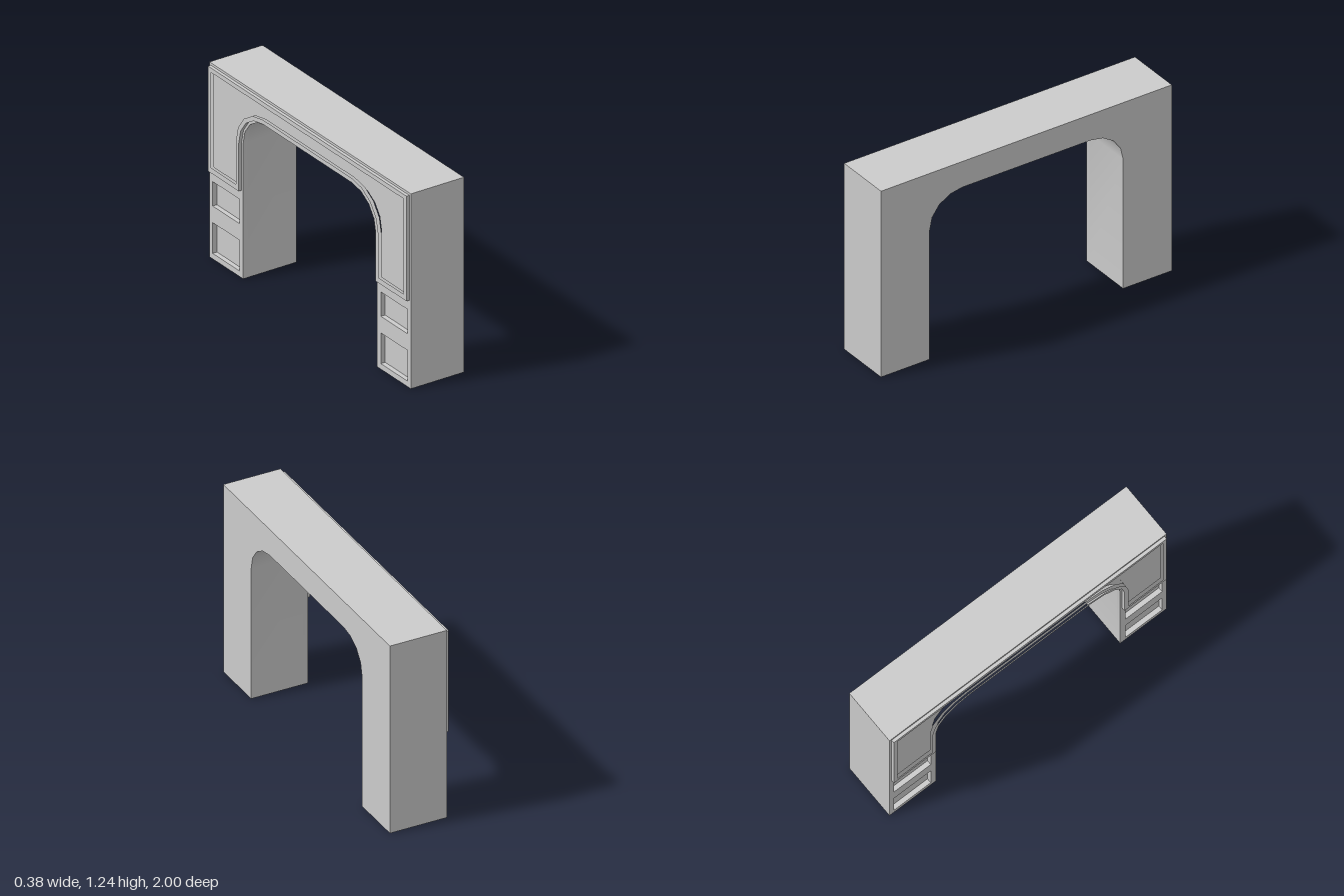
import * as THREE from 'three';
import { toCreasedNormals } from 'three/addons/utils/BufferGeometryUtils.js';

const HALF = 1, TOP = 1.236;              // outer half length and height
const OPEN = 0.665, CROWN = 1.065;        // opening half width and height
const CZ = 0.44, CY = 0.86;               // centre of the rounded corner
const BACK = 0.19, FLOOR = -0.145, FACE = -0.175, TRIM = -0.195; // layers along x

// Outline of the arch, drawn in by an even inset, with feet at the given height
function archPoints(inset, foot) {
  const right = [];
  for (let i = 0; i <= 4; i++) {
    const a = (i / 4) * Math.PI / 2;
    right.push([
      CZ + (OPEN + inset - CZ) * Math.cos(a),
      CY + (CROWN + inset - CY) * Math.sin(a),
    ]);
  }
  const half = [[HALF - inset, TOP - inset], [HALF - inset, foot], [OPEN + inset, foot], ...right];
  const mirrored = half.map(([z, y]) => [-z, y]).reverse();
  return [...half, ...mirrored].map(([z, y]) => new THREE.Vector2(z, y));
}

function rectPoints(z0, z1, y0, y1) {
  return [[z0, y0], [z1, y0], [z1, y1], [z0, y1]].map(([z, y]) => new THREE.Vector2(z, y));
}

// Extrude an outline with holes between two x positions
function slab(name, points, holes, x0, x1, material) {
  const shape = new THREE.Shape(points);
  shape.holes = holes.map((h) => new THREE.Path(h));
  let geo = new THREE.ExtrudeGeometry(shape, { depth: x1 - x0, bevelEnabled: false });
  geo.rotateY(Math.PI / 2);
  geo.translate(x0, 0, 0);
  geo = toCreasedNormals(geo, 0.6);
  const mesh = new THREE.Mesh(geo, material);
  mesh.name = name;
  return mesh;
}

export function createModel() {
  const group = new THREE.Group();
  group.name = 'archway';
  const material = new THREE.MeshStandardMaterial({ color: 0xcccccc });

  const outline = archPoints(0, 0);
  const panel = archPoints(0.043, 0.588);

  // Two sunken rectangles on each pier
  const pierPanels = [];
  for (const side of [-1, 1]) {
    for (const [y0, y1] of [[0.035, 0.23], [0.335, 0.49]]) {
      const z = [side * 0.702, side * 0.968].sort((a, b) => a - b);
      pierPanels.push(rectPoints(z[0], z[1], y0, y1));
    }
  }

  // Solid arch, panelled facing and raised moulding
  group.add(slab('archBody', outline, [], FLOOR, BACK, material));
  group.add(slab('panelledFacing', outline, [panel, ...pierPanels], FACE, FLOOR, material));
  group.add(slab('raisedMoulding', archPoints(0.015, 0.555), [panel], TRIM, FACE, material));

  return group;
}
